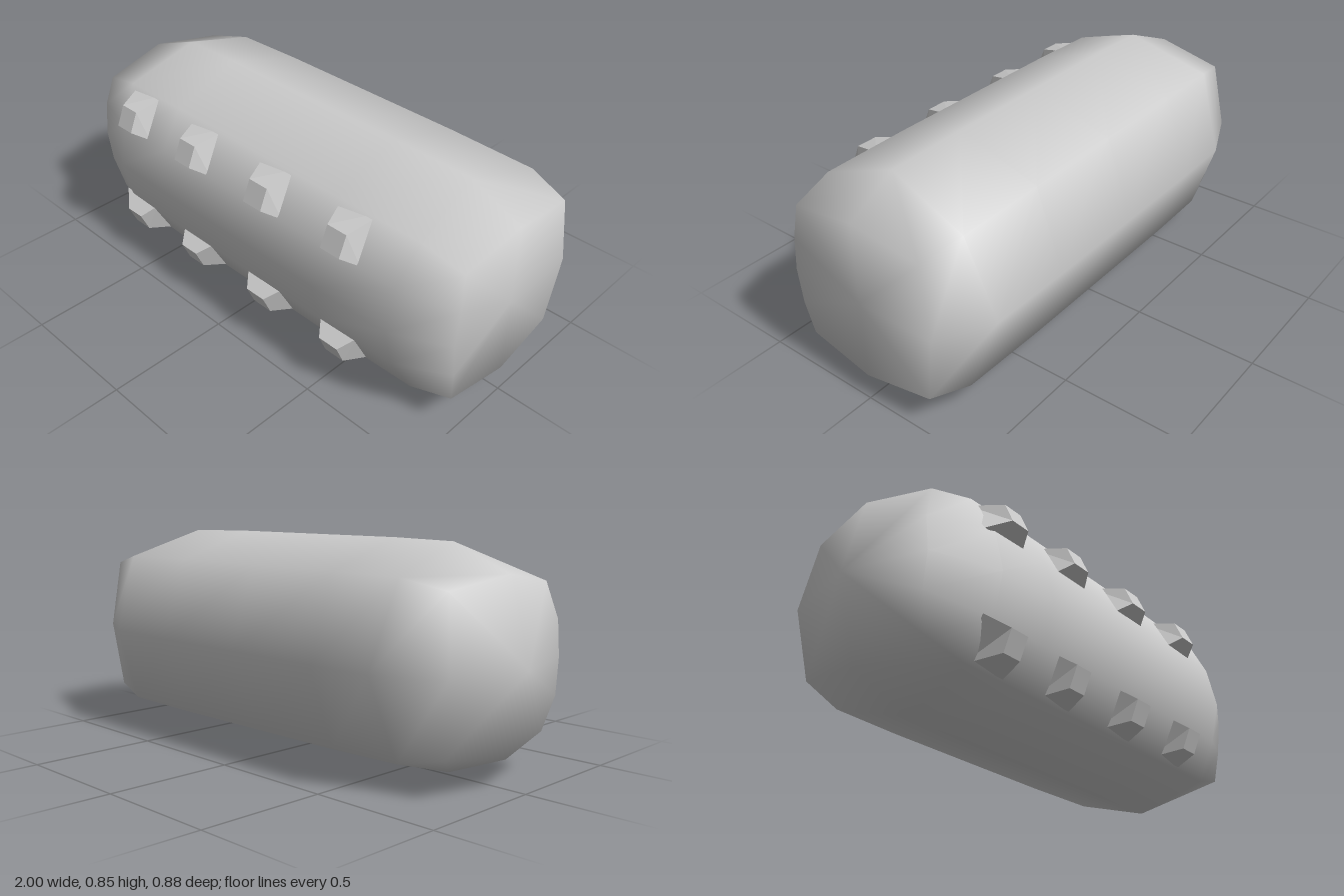
import * as THREE from 'three';

const MID_Y = 0.43;

// Cross-sections as [y offset, z], from the top round by the front; 'd' marks a diagonal corner
const FULL = [[0.42, 0.01], [0.322, 0.302, 'd'], [0.168, 0.388], [0, 0.425], [-0.168, 0.388],
  [-0.322, 0.302, 'd'], [-0.42, 0.01], [-0.315, -0.325, 'd'], [0, -0.435], [0.315, -0.325, 'd']];
const CAP = [[0.32, 0], [0.277, 0.283, 'd'], [0.14, 0.305], [0, 0.32], [-0.14, 0.305],
  [-0.277, 0.283, 'd'], [-0.32, 0], [-0.277, -0.287, 'd'], [0, -0.328], [0.277, -0.287, 'd']];

// Rings along the body: section, scale, x on the axes, x at the diagonal corners
const RINGS = [
  [CAP, 1, -0.915, -0.875],
  [FULL, 1, -0.665, -0.7],
  [FULL, 1.013, -0.4, -0.4],
  [FULL, 1.013, 0.02, 0.02],
  [FULL, 1.013, 0.45, 0.45],
  [FULL, 1, 0.79, 0.82],
  [CAP, 1, 0.998, 0.985],
];

function makeGeometry(positions, index) {
  const g = new THREE.BufferGeometry();
  g.setAttribute('position', new THREE.Float32BufferAttribute(positions, 3));
  g.setIndex(index);
  g.computeVertexNormals();
  return g;
}

// Smooth faceted capsule, rings joined and closed by a fan at each end
function bodyGeometry() {
  const n = FULL.length, pos = [], idx = [];
  for (const [section, s, xAxis, xDiag] of RINGS)
    for (const [y, z, d] of section) pos.push(d ? xDiag : xAxis, MID_Y + y * s, z * s);
  const last = (RINGS.length - 1) * n;
  const left = last + n, right = left + 1;
  pos.push(-1, MID_Y, 0, 1, MID_Y, 0);
  for (let k = 0; k < n; k++) {
    const k2 = (k + 1) % n;
    for (let r = 0; r < last; r += n)
      idx.push(r + k, r + k2, r + n + k, r + k2, r + n + k2, r + n + k);
    idx.push(left, k2, k, right, last + k, last + k2);
  }
  return makeGeometry(pos, idx);
}

// Tapered stud; side = 1 for the upper row, -1 for the mirrored lower row
function studGeometry([baseL, baseR, tipL, tipR, skew], side) {
  const y = (v) => MID_Y + side * v;
  const pos = [
    baseL - skew, y(0.165), 0.38, baseR, y(0.165), 0.38, baseR, y(0.33), 0.26, baseL, y(0.31), 0.275,
    tipL, y(0.207), 0.44, tipR, y(0.207), 0.44, tipR, y(0.287), 0.405, tipL, y(0.287), 0.405,
  ];
  const idx = [4, 5, 6, 4, 6, 7];
  for (let i = 0; i < 4; i++) {
    const j = (i + 1) % 4;
    idx.push(i, j, j + 4, i, j + 4, i + 4);
  }
  if (side < 0) idx.reverse();
  return makeGeometry(pos, idx);
}

export function createModel() {
  const group = new THREE.Group();
  const smooth = new THREE.MeshStandardMaterial({ color: 0xcccccc });
  const flat = new THREE.MeshStandardMaterial({ color: 0xcccccc, flatShading: true });

  const body = new THREE.Mesh(bodyGeometry(), smooth);
  body.name = 'body';
  group.add(body);

  // Two rows of four studs: base left/right, tip left/right, skew of the inner left corner
  const studs = [
    [-0.69, -0.51, -0.635, -0.55, 0.02],
    [-0.323, -0.14, -0.275, -0.19, 0],
    [0.062, 0.252, 0.115, 0.205, 0],
    [0.452, 0.63, 0.5, 0.587, 0],
  ];
  for (const side of [1, -1])
    studs.forEach((s, i) => {
      const stud = new THREE.Mesh(studGeometry(s, side), flat);
      stud.name = (side > 0 ? 'upperStud' : 'lowerStud') + (i + 1);
      group.add(stud);
    });
  return group;
}
